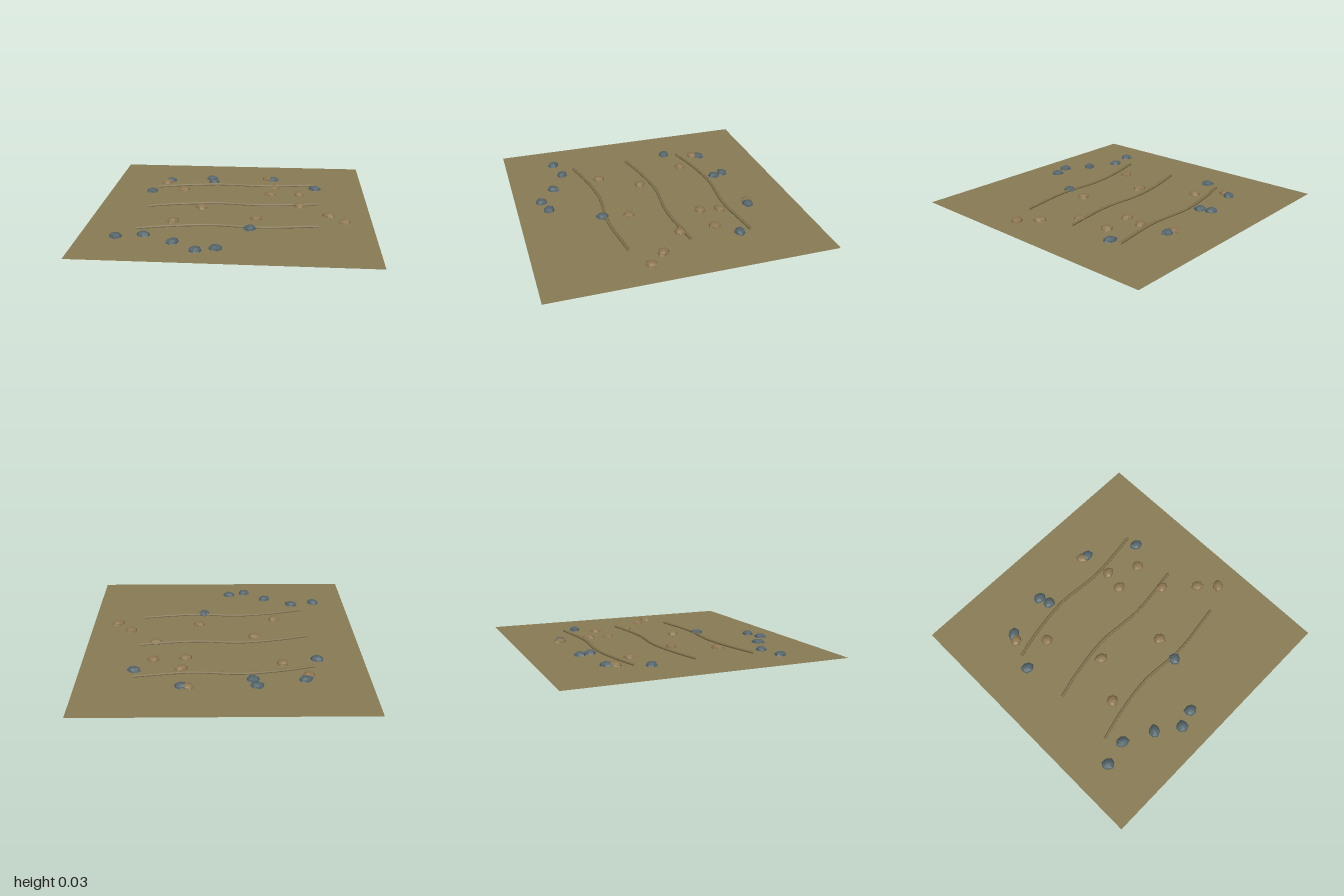
import * as THREE from 'three';

const material = (name, color, extra = {}) => {
  const m = new THREE.MeshStandardMaterial({ color, ...extra });
  m.name = name;
  return m;
};

const GROUND_Y = 0.006;

// low faceted dome; its rim and shoulders are pushed in and out by a wave rule
function pebbleGeometry(seed) {
  const g = new THREE.SphereGeometry(1, 7, 3, 0, Math.PI * 2, 0, Math.PI / 2);
  const p = g.attributes.position;
  for (let i = 0; i < p.count; i++) {
    const x = p.getX(i), y = p.getY(i), z = p.getZ(i);
    const a = Math.atan2(z, x);
    const k = 1 + 0.08 * Math.sin(2 * a + seed * 1.7) + 0.07 * Math.cos(3 * a + seed * 2.9 + y * 2);
    p.setXYZ(i, x * k * 0.048, y * 0.028, z * k * 0.042);
  }
  g.computeVertexNormals();
  return g;
}

export function createModel() {
  const model = new THREE.Group();
  model.name = 'sandPatch';
  const sand = material('sand', 0x8a7c56, { side: THREE.DoubleSide });
  const ridge = material('ridge sand', 0x84754f);
  const tan = material('tan stone', 0x8c7650, { flatShading: true });
  const slate = material('slate stone', 0x53646a, { flatShading: true });

  // flat ground sheet
  const ground = new THREE.Mesh(new THREE.PlaneGeometry(2, 2).rotateX(-Math.PI / 2), sand);
  ground.name = 'ground';
  ground.position.y = GROUND_Y;
  model.add(ground);

  // three parallel wind ripples
  const path = new THREE.CatmullRomCurve3([
    [-0.64, 0.04], [-0.42, -0.015], [-0.13, -0.055], [0.22, -0.035], [0.62, -0.083],
  ].map(([x, z]) => new THREE.Vector3(x, 0.011, z)));
  const rippleGeometry = new THREE.TubeGeometry(path, 32, 0.011, 6, false);
  for (const z of [-0.44, 0, 0.44]) {
    const ripple = new THREE.Mesh(rippleGeometry, ridge);
    ripple.name = 'ripple';
    ripple.position.z = z;
    model.add(ripple);
  }

  // scattered pebbles
  const slateSpots = [
    [-0.67, -0.3], [-0.56, -0.57], [-0.225, -0.645], [-0.2, -0.565], [0.283, -0.645], [0.62, -0.436],
    [0.144, 0.425], [-0.75, 0.623], [-0.567, 0.585], [-0.353, 0.692], [-0.187, 0.81], [-0.06, 0.773],
  ];
  const tanSpots = [
    [-0.583, -0.52], [-0.42, -0.355], [0.24, -0.655], [0.294, -0.42], [0.267, -0.275], [0.497, -0.297],
    [0.497, -0.04], [-0.235, 0.035], [-0.406, 0.323], [0.18, 0.238], [0.7, 0.147], [0.81, 0.26],
  ];
  const scatter = (spots, mat, name, offset) => spots.forEach(([x, z], i) => {
    const pebble = new THREE.Mesh(pebbleGeometry(i + offset), mat);
    pebble.name = name;
    pebble.position.set(x, GROUND_Y, z);
    pebble.rotation.y = 0.5 * Math.sin(i * 2.3 + offset);
    model.add(pebble);
  });
  scatter(slateSpots, slate, 'slatePebble', 0);
  scatter(tanSpots, tan, 'tanPebble', 20);

  return model;
}
